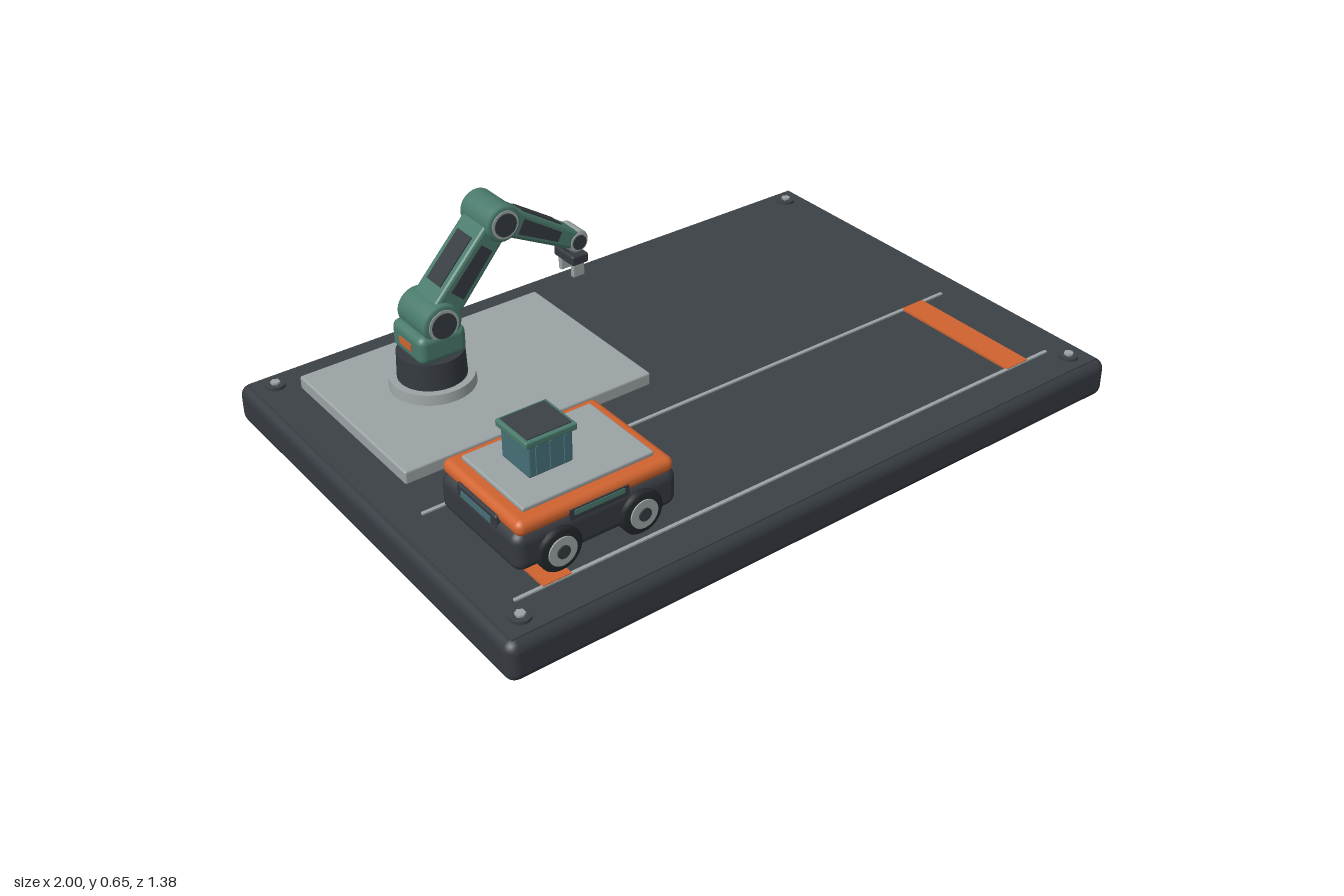
import * as THREE from 'three';
import { RoundedBoxGeometry } from 'three/addons/geometries/RoundedBoxGeometry.js';

const paint = (name, color) => Object.assign(new THREE.MeshStandardMaterial({ color }), { name });

export function createModel() {
  const dark = paint('dark charcoal', 0x353a40);
  const deckGrey = paint('deck grey', 0x3c4147);
  const black = paint('rubber black', 0x23272b);
  const light = paint('light grey', 0x9ca3a5);
  const green = paint('arm green', 0x4a7a6c);
  const teal = paint('crate teal', 0x467078);
  const orange = paint('orange', 0xd0632f);

  const model = new THREE.Group();
  const add = (parent, name, geo, mat, x = 0, y = 0, z = 0) => {
    const m = new THREE.Mesh(geo, mat);
    m.name = name;
    m.position.set(x, y, z);
    parent.add(m);
    return m;
  };
  const group = (name, parent = model) => {
    const g = new THREE.Group();
    g.name = name;
    parent.add(g);
    return g;
  };
  const box = (w, h, d) => new THREE.BoxGeometry(w, h, d);
  const round = (w, h, d, r) => new RoundedBoxGeometry(w, h, d, 3, r);
  const cyl = (r, h, n = 32, r2 = r) => new THREE.CylinderGeometry(r2, r, h, n);
  const axle = (r, w, n = 32) => cyl(r, w, n).rotateX(Math.PI / 2);
  // Round drum along z with softened rims
  const drum = (r, w, b = 0.007) => new THREE.LatheGeometry([
    [0, -w / 2], [r - b, -w / 2], [r, -w / 2 + b], [r, w / 2 - b], [r - b, w / 2], [0, w / 2],
  ].map(p => new THREE.Vector2(...p)), 32).rotateX(Math.PI / 2);

  // Base board with deck and corner screws
  const base = group('base');
  add(base, 'board', round(2, 0.116, 1.376, 0.03), dark, 0, 0.058, 0);
  add(base, 'deck', box(1.955, 0.006, 1.33), deckGrey, 0, 0.115, 0);
  for (const x of [-0.92, 0.92]) for (const z of [-0.612, 0.612]) {
    add(base, 'screwWasher', cyl(0.028, 0.01, 24), deckGrey, x, 0.122, z);
    add(base, 'screwHead', cyl(0.014, 0.008, 6), light, x, 0.129, z);
  }

  // Floor lane: two rails and two cross strips
  const lane = group('lane');
  for (const z of [0.14, 0.555]) add(lane, 'rail', box(1.79, 0.005, 0.01), light, -0.005, 0.12, z);
  for (const x of [-0.78, 0.77]) add(lane, 'crossStrip', box(0.08, 0.007, 0.42), orange, x, 0.1215, 0.348);

  // Robot mounting plate
  add(model, 'mountingPlate', round(0.77, 0.04, 0.57, 0.006), light, -0.485, 0.137, -0.275);

  // Cart
  const cart = group('cart');
  cart.position.set(-0.637, 0, 0.358);
  add(cart, 'chassis', round(0.47, 0.11, 0.345, 0.03), dark, 0, 0.21, 0);
  add(cart, 'upperShell', round(0.452, 0.043, 0.342, 0.02), orange, 0, 0.277, 0);
  add(cart, 'loadTray', round(0.378, 0.014, 0.268, 0.005), light, 0, 0.304, 0);
  for (const s of [-1, 1]) {
    add(cart, 'sidePanelFrame', box(0.17, 0.03, 0.006), dark, 0, 0.265, s * 0.171);
    add(cart, 'sidePanel', box(0.145, 0.014, 0.006), green, 0, 0.27, s * 0.173);
    add(cart, 'endBumper', round(0.016, 0.035, 0.175, 0.006), dark, s * 0.226, 0.262, 0);
    add(cart, 'endLight', box(0.006, 0.018, 0.13), teal, s * 0.233, 0.258, 0);
    for (const x of [-0.118, 0.118]) {
      const wheel = group('wheel', cart);
      wheel.position.set(x, 0.188, s * 0.152);
      add(wheel, 'tyre', drum(0.061, 0.07), black);
      add(wheel, 'hub', axle(0.04, 0.006), light, 0, 0, s * 0.036);
      add(wheel, 'hubCap', axle(0.018, 0.006, 20), dark, 0, 0, s * 0.04);
    }
  }

  // Crate on the cart
  const crate = group('crate');
  crate.position.set(-0.694, 0, 0.358);
  add(crate, 'crateBody', round(0.126, 0.092, 0.12, 0.006), teal, 0, 0.366, 0);
  add(crate, 'crateRim', round(0.146, 0.02, 0.134, 0.005), green, 0, 0.418, 0);
  add(crate, 'crateLid', box(0.126, 0.005, 0.114), deckGrey, 0, 0.428, 0);
  for (const s of [-1, 1]) for (const x of [-0.04, 0, 0.04]) {
    add(crate, 'crateRib', box(0.008, 0.08, 0.006), teal, x, 0.366, s * 0.061);
  }

  // Robot arm: pedestal and turret
  const arm = group('robotArm');
  arm.position.set(-0.595, 0, -0.313);
  add(arm, 'flange', cyl(0.12, 0.03, 48, 0.117), light, 0, 0.172, 0);
  add(arm, 'pedestal', cyl(0.096, 0.08, 48, 0.093), dark, 0, 0.226, 0);
  add(arm, 'turret', round(0.145, 0.085, 0.158, 0.022), green, 0, 0.305, 0);
  add(arm, 'turretBadge', box(0.006, 0.022, 0.06), orange, -0.072, 0.305, 0);

  // Joints: drum with a light ring and dark cap at both ends
  const shoulder = [0.005, 0.367], elbow = [0.21, 0.6], wrist = [0.463, 0.453];
  const joint = (name, [x, y], r, w, mat) => {
    const g = group(name, arm);
    g.position.set(x, y, 0);
    add(g, 'drum', drum(r, w), mat);
    for (const s of [-1, 1]) {
      add(g, 'ring', axle(r * 0.78, 0.005), light, 0, 0, s * w / 2);
      add(g, 'cap', axle(r * 0.64, 0.008), dark, 0, 0, s * (w / 2 + 0.001));
    }
  };
  joint('shoulderJoint', shoulder, 0.058, 0.148, green);
  joint('elbowJoint', elbow, 0.052, 0.146, green);
  joint('wristJoint', wrist, 0.034, 0.082, light);

  // Links: tapered bevelled beams with dark inlays on sides and top
  const link = (name, a, b, h0, h1, w) => {
    const dx = b[0] - a[0], dy = b[1] - a[1], len = Math.hypot(dx, dy), bv = 0.009;
    const g = group(name, arm);
    g.position.set(a[0], a[1], 0);
    g.rotation.z = Math.atan2(dy, dx);
    const shape = (x0, x1, k, inset) => new THREE.Shape([
      [x0, -h0 * k + inset], [x1, -h1 * k + inset], [x1, h1 * k - inset], [x0, h0 * k - inset],
    ].map(p => new THREE.Vector2(...p)));
    const beam = new THREE.ExtrudeGeometry(shape(0.015, len - 0.015, 0.5, bv), {
      depth: w - 2 * bv, bevelSize: bv, bevelThickness: bv, bevelSegments: 2,
    }).translate(0, 0, -w / 2 + bv);
    add(g, 'beam', beam, green);
    const inlay = new THREE.ExtrudeGeometry(shape(len * 0.27, len * 0.75, 0.27, 0), { depth: 0.006, bevelEnabled: false });
    for (const s of [-1, 1]) add(g, 'sideInlay', inlay, dark, 0, 0, s * w / 2 - 0.003);
    const top = add(g, 'topInlay', box(len * 0.5, 0.006, w * 0.6), dark, len * 0.51, (h0 + h1) / 4, 0);
    top.rotation.z = Math.atan2((h1 - h0) / 2, len);
  };
  link('upperArm', shoulder, elbow, 0.09, 0.078, 0.114);
  link('forearm', elbow, wrist, 0.084, 0.054, 0.082);

  // Cable sagging behind the elbow
  const path = new THREE.CatmullRomCurve3([
    [0.03, 0.375, -0.062], [0.1, 0.445, -0.068], [0.19, 0.52, -0.07],
    [0.25, 0.515, -0.066], [0.34, 0.48, -0.052], [0.4, 0.475, -0.038],
  ].map(p => new THREE.Vector3(...p)));
  add(arm, 'cable', new THREE.TubeGeometry(path, 32, 0.008, 10), black);

  // Gripper
  const gripper = group('gripper', arm);
  gripper.position.set(wrist[0], 0, 0);
  add(gripper, 'gripperNeck', cyl(0.022, 0.04, 24), dark, 0, 0.42, 0);
  add(gripper, 'gripperPalm', round(0.054, 0.03, 0.094, 0.006), dark, 0, 0.4, 0);
  for (const s of [-1, 1]) add(gripper, 'finger', round(0.038, 0.052, 0.016, 0.004), light, 0, 0.369, s * 0.03);

  return model;
}
